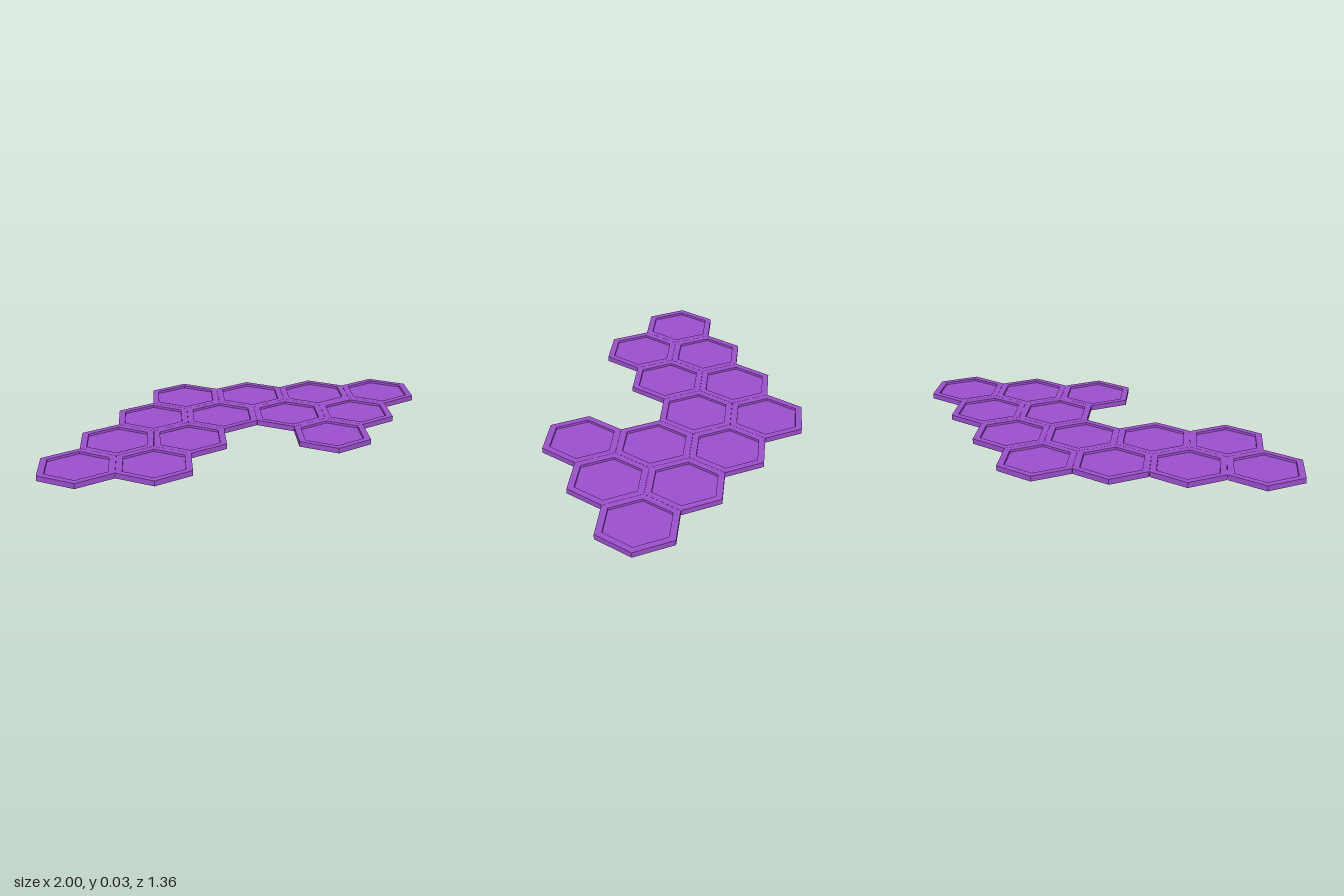
import * as THREE from 'three';

// Hexagon grid: corners point along z
const PITCH = 0.3637;
const OUTER = 0.2095; // corner radius of a tile
const INNER = 0.172; // corner radius of the recess
const HEIGHT = 0.027;
const FLOOR = 0.015;

// Columns are in half pitches from the middle, one list per row from back to front
const ROWS = [
  [-1.5, 0.5, 2.5, 4.5],
  [-2.5, -0.5, 1.5, 3.5],
  [-3.5, -1.5, 2.5],
  [-4.5, -2.5],
];

// Six-sided tray: flat base, outer wall, raised rim, inner wall, sunken floor
function trayGeometry() {
  const profile = [
    [0, 0], [OUTER, 0], [OUTER, HEIGHT],
    [INNER, HEIGHT], [INNER, FLOOR], [0, FLOOR],
  ].map(([r, y]) => new THREE.Vector2(r, y));
  const geometry = new THREE.LatheGeometry(profile, 6).toNonIndexed();
  geometry.computeVertexNormals();
  return geometry;
}

export function createModel() {
  const model = new THREE.Group();
  model.name = 'hexTiles';
  const geometry = trayGeometry();
  const material = new THREE.MeshStandardMaterial({ color: 0x9b4fcc, flatShading: true });
  const rowStep = PITCH * Math.sqrt(3) / 2;

  // Lay the tiles row by row
  ROWS.forEach((columns, row) => {
    columns.forEach((column, i) => {
      const tile = new THREE.Mesh(geometry, material);
      tile.name = `tileRow${row + 1}Number${i + 1}`;
      tile.position.set(column * PITCH / 2, 0, (row - 1.5) * rowStep);
      model.add(tile);
    });
  });
  return model;
}
